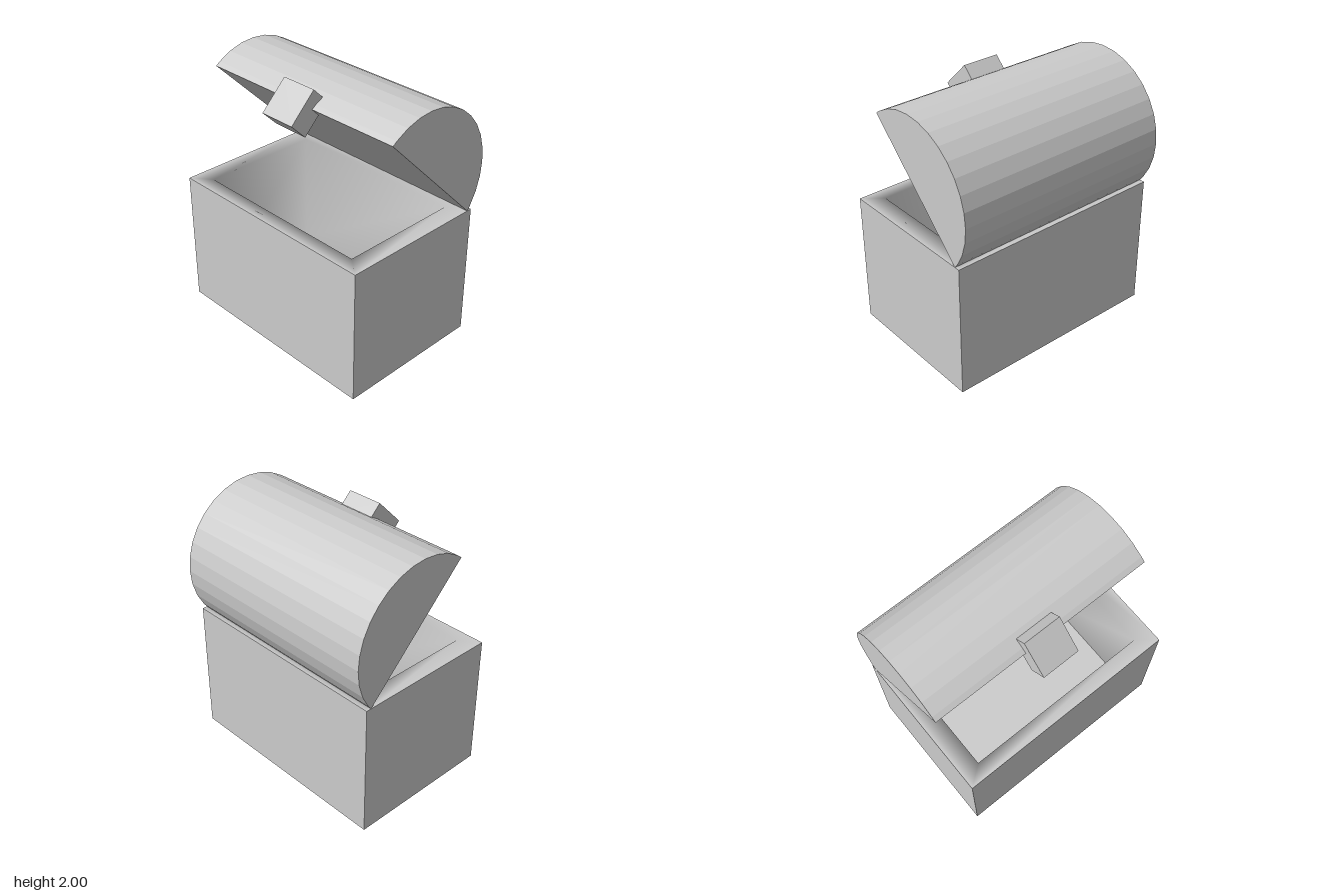
import * as THREE from 'three';

const grey = new THREE.MeshStandardMaterial({ color: 0xcccccc });
const flatGrey = new THREE.MeshStandardMaterial({ color: 0xcccccc, flatShading: true });

const BASE_X = -0.0475; // centre of the base in x

// four corners of a rectangle, counter-clockwise from above
function ring(halfX, halfZ, y) {
  return [[1, 1], [1, -1], [-1, -1], [-1, 1]].map(([sx, sz]) => [BASE_X + sx * halfX, y, sz * halfZ]);
}

// skin over a series of four-cornered rings
function loft(rings) {
  const index = [];
  for (let r = 0; r < rings.length - 1; r++) {
    for (let i = 0; i < 4; i++) {
      const a = r * 4 + i, b = r * 4 + (i + 1) % 4;
      index.push(a, b, b + 4, a, b + 4, a + 4);
    }
  }
  const geometry = new THREE.BufferGeometry();
  geometry.setAttribute('position', new THREE.Float32BufferAttribute(rings.flat(2), 3));
  geometry.setIndex(index);
  geometry.computeVertexNormals();
  return geometry;
}

function add(group, name, geometry, material) {
  const mesh = new THREE.Mesh(geometry, material);
  mesh.name = name;
  group.add(mesh);
  return mesh;
}

function createBase() {
  const base = new THREE.Group();
  base.name = 'base';
  const hx = 0.5825, hz = 0.872, top = 1.05;
  const ix = 0.4675, iz = 0.727, floorY = 0.12;

  add(base, 'outerWalls', loft([ring(hx, hz, 0), ring(hx, hz, top)]), flatGrey);
  // rim and cavity share smooth normals
  add(base, 'rimAndInnerWalls', loft([ring(hx, hz, top), ring(ix, iz, top), ring(ix, iz, floorY)]), grey);

  const floor = add(base, 'innerFloor', new THREE.PlaneGeometry(2 * ix, 2 * iz), grey);
  floor.rotation.x = -Math.PI / 2;
  floor.position.set(BASE_X, floorY, 0);

  const bottom = add(base, 'bottom', new THREE.PlaneGeometry(2 * hx, 2 * hz), grey);
  bottom.rotation.x = Math.PI / 2;
  bottom.position.x = BASE_X;
  return base;
}

function createLid() {
  const lid = new THREE.Group();
  lid.name = 'lid';

  // faceted circular arc closed by the slanted flat underside
  const radius = 0.578, cx = 0.041, cy = 1.405, step = Math.PI / 16;
  const profile = [new THREE.Vector2(0.495, 1.05)];
  for (let i = -3; i <= 11; i++) {
    profile.push(new THREE.Vector2(cx + radius * Math.cos(i * step), cy + radius * Math.sin(i * step)));
  }
  profile.push(new THREE.Vector2(-0.315, 1.86));
  const dome = new THREE.ExtrudeGeometry(new THREE.Shape(profile), { depth: 1.744, bevelEnabled: false });
  dome.translate(0, 0, -0.872);
  add(lid, 'dome', dome, flatGrey);

  // latch block on the raised edge
  const latch = add(lid, 'latch', new THREE.BoxGeometry(0.287, 0.17, 0.29), grey);
  latch.rotation.z = Math.PI / 4;
  latch.position.set(-0.338, 1.838, 0);
  return lid;
}

export function createModel() {
  const chest = new THREE.Group();
  chest.name = 'openChest';
  chest.add(createBase(), createLid());
  return chest;
}
